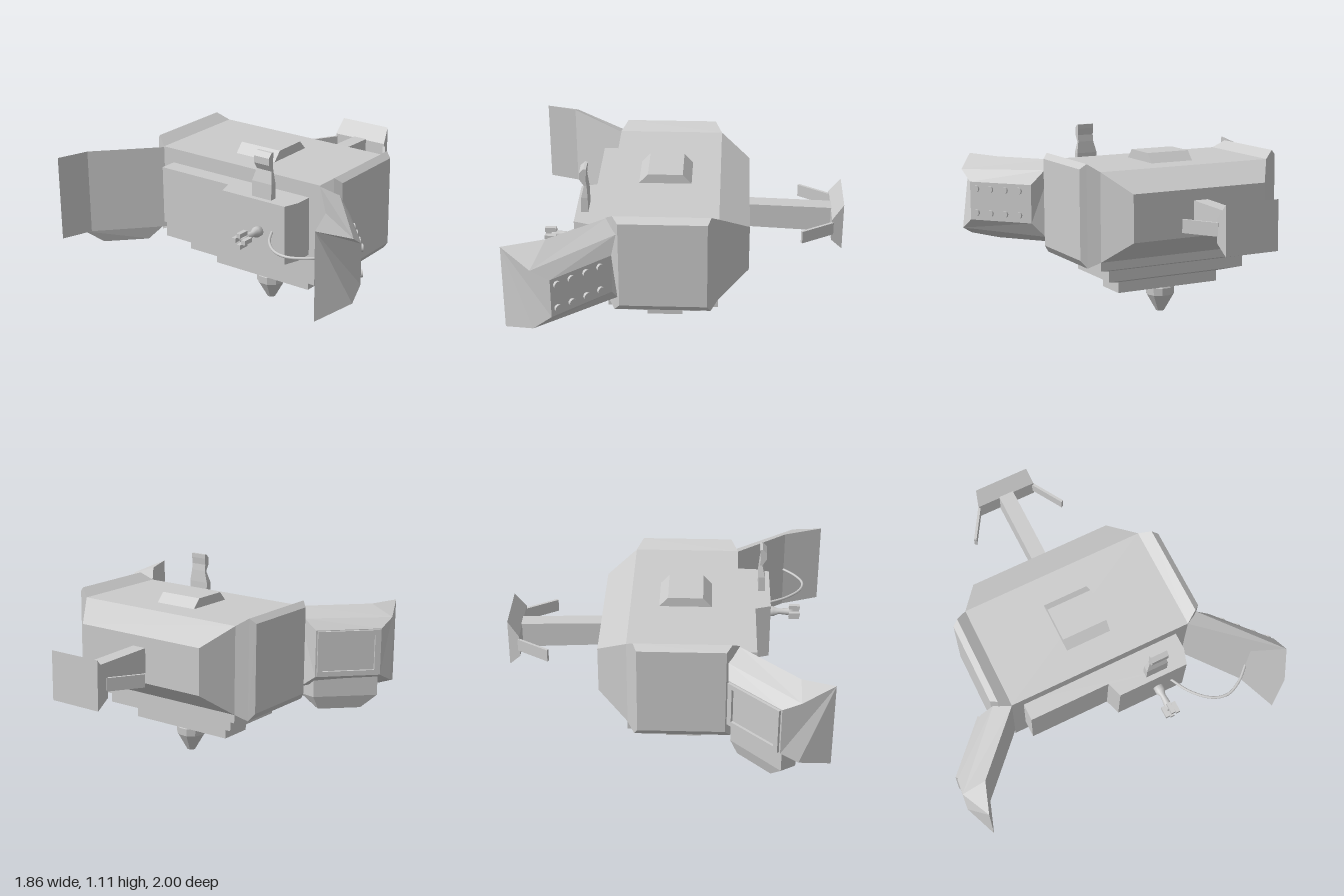
import * as THREE from 'three';

const material = new THREE.MeshStandardMaterial({ color: 0xcccccc, side: THREE.DoubleSide });

// Joins equal-length corner loops into a closed, flat-faced solid
function loft(loops) {
  const tris = [];
  const n = loops[0].length;
  for (let s = 0; s < loops.length - 1; s++) {
    for (let i = 0; i < n; i++) {
      const j = (i + 1) % n;
      const [a, b, c, d] = [loops[s][i], loops[s][j], loops[s + 1][j], loops[s + 1][i]];
      tris.push([a, b, c], [a, c, d]);
    }
  }
  const end = loops[loops.length - 1];
  for (let i = 1; i < n - 1; i++) {
    tris.push([loops[0][0], loops[0][i + 1], loops[0][i]], [end[0], end[i], end[i + 1]]);
  }
  // A negative volume means the corners run the wrong way
  const v = (p) => new THREE.Vector3(...p);
  const volume = tris.reduce((sum, [a, b, c]) => sum + v(a).dot(v(b).cross(v(c))), 0);
  if (volume < 0) tris.forEach((t) => t.reverse());
  const geometry = new THREE.BufferGeometry();
  geometry.setAttribute('position', new THREE.Float32BufferAttribute(tris.flat(2), 3));
  geometry.computeVertexNormals();
  return geometry;
}

// Rectangles across each axis
const rectX = (x, y0, y1, z0, z1) => [[x, y0, z0], [x, y1, z0], [x, y1, z1], [x, y0, z1]];
const rectY = (y, x0, x1, z0, z1) => [[x0, y, z0], [x1, y, z0], [x1, y, z1], [x0, y, z1]];
const rectZ = (z, x0, x1, y0, y1) => [[x0, y0, z], [x1, y0, z], [x1, y1, z], [x0, y1, z]];

// Section through a side panel: [x, z, half height] for inner edge, ridge and outer face
const MID = 0.67;
const panelLoop = (pts) => [
  ...pts.map(([x, z, h]) => [x, MID + h, z]),
  ...pts.slice().reverse().map(([x, z, h]) => [x, MID - h, z]),
];

export function createModel() {
  const model = new THREE.Group();
  const add = (name, geometry, parent = model) => {
    const mesh = new THREE.Mesh(geometry, material);
    mesh.name = name;
    parent.add(mesh);
    return mesh;
  };

  // Hull with flared, bevelled ends
  const ends = [[0.65, -0.33, 0.16, 0.42, 0.94], [0.615, -0.36, 0.18, 0.375, 0.97], [0.55, -0.4, 0.22, 0.41, 0.925]];
  add('hull', loft([
    ...ends.map(([z, ...r]) => rectZ(z, ...r)),
    ...ends.slice().reverse().map(([z, ...r]) => rectZ(-z, ...r)),
  ]));
  add('hullSideBulge', loft([
    rectX(0.2, 0.41, 0.925, -0.55, 0.55),
    rectX(0.22, 0.41, 0.925, -0.55, 0.55),
    rectX(0.39, 0.54, 0.815, -0.43, 0.43),
  ]));
  add('roofHatch', loft([
    rectY(0.92, -0.25, 0.06, -0.135, 0.135),
    rectY(0.98, -0.195, 0.005, -0.135, 0.135),
  ]));

  // Stepped underside
  add('bellySteps', loft([
    rectY(0.42, -0.4, 0.22, -0.55, 0.55),
    rectY(0.36, -0.4, 0.22, -0.55, 0.55),
    rectY(0.33, -0.3, 0.12, -0.45, 0.45),
    rectY(0.265, -0.3, 0.12, -0.45, 0.45),
    rectY(0.23, -0.195, 0.01, -0.335, 0.335),
    rectY(0.165, -0.195, 0.01, -0.335, 0.335),
  ]));
  const profile = [[0, 0], [0.025, 0], [0.085, 0.105], [0.088, 0.15], [0.078, 0.17], [0, 0.17]];
  const nozzle = new THREE.LatheGeometry(profile.map((p) => new THREE.Vector2(...p)), 10).toNonIndexed();
  nozzle.computeVertexNormals();
  add('nozzle', nozzle).position.x = -0.095;

  // Equipment box on the right flank
  const plan = [[-0.38, -0.48], [-0.5, -0.48], [-0.5, 0], [-0.59, 0.03], [-0.59, 0.45], [-0.5, 0.48], [-0.38, 0.48]];
  const shape = new THREE.Shape(plan.map(([x, z]) => new THREE.Vector2(x, -z)));
  const box = new THREE.ExtrudeGeometry(shape, { depth: 0.34, bevelEnabled: false });
  box.rotateX(-Math.PI / 2);
  add('equipmentBox', box).position.y = 0.5;

  add('antennaBlade', loft([
    rectY(0.82, -0.56, -0.52, 0.21, 0.34),
    rectY(0.93, -0.557, -0.52, 0.21, 0.34),
    rectY(1.0, -0.54, -0.525, 0.23, 0.33),
    rectY(1.04, -0.565, -0.53, 0.23, 0.33),
    rectY(1.08, -0.565, -0.525, 0.23, 0.33),
    rectY(1.105, -0.54, -0.525, 0.23, 0.33),
  ]));

  // Small finned coupling pointing outward, with its hose
  const coupling = new THREE.Group();
  coupling.name = 'coupling';
  coupling.position.set(-0.58, 0.66, 0.28);
  model.add(coupling);
  const stem = [[0, 0], [0.03, 0], [0.03, 0.04], [0.016, 0.07], [0.022, 0.13], [0.022, 0.16], [0, 0.16]];
  add('couplingStem', new THREE.LatheGeometry(stem.map((p) => new THREE.Vector2(...p)), 12), coupling).rotation.z = Math.PI / 2;
  for (let i = 0; i < 4; i++) {
    const a = (i * Math.PI) / 2;
    const fin = add('couplingFin', new THREE.BoxGeometry(0.065, 0.025, 0.025), coupling);
    fin.position.set(-0.165, 0.032 * Math.sin(a), 0.032 * Math.cos(a));
  }
  const hosePath = [[-0.58, 0.36], [-0.7, 0.43], [-0.79, 0.53], [-0.81, 0.62], [-0.77, 0.71], [-0.69, 0.8]];
  const curve = new THREE.CatmullRomCurve3(hosePath.map(([x, z]) => new THREE.Vector3(x, 0.67, z)));
  add('hose', new THREE.TubeGeometry(curve, 32, 0.008, 8));

  // Front side panel with studs
  add('frontPanel', loft([
    panelLoop([[-0.4, 0.55, 0.25], [-0.34, 0.64, 0.2], [-0.36, 0.72, 0.115]]),
    panelLoop([[-0.7, 0.79, 0.25], [-0.76, 1, 0.18], [-0.66, 0.985, 0.115]]),
    panelLoop([[-0.93, 0.88, 0.25], [-0.76, 1, 0.18], [-0.66, 0.985, 0.115]]),
  ]));
  for (const t of [0.2, 0.43, 0.67, 0.9]) {
    for (const y of [0.6, 0.745]) {
      const stud = add('panelStud', new THREE.CylinderGeometry(0.021, 0.021, 0.03, 14));
      stud.position.set(-0.36 - 0.3 * t, y, 0.72 + 0.265 * t);
      stud.quaternion.setFromUnitVectors(new THREE.Vector3(0, 1, 0), new THREE.Vector3(0.265, 0, 0.3).normalize());
    }
  }

  // Rear side panel with a raised frame and lower pod
  add('rearPanel', loft([
    panelLoop([[-0.4, -0.55, 0.25], [-0.34, -0.64, 0.2], [-0.34, -0.72, 0.14]]),
    panelLoop([[-0.72, -0.86, 0.25], [-0.72, -1, 0.19], [-0.62, -0.99, 0.14]]),
    panelLoop([[-0.9, -0.92, 0.25], [-0.72, -1, 0.19], [-0.62, -0.99, 0.14]]),
  ]));
  const podLoop = (y, pts) => pts.map(([x, z]) => [x, y, z]);
  const podPlan = [[-0.38, -0.6], [-0.36, -0.7], [-0.63, -0.97], [-0.71, -0.92]];
  add('rearPanelPod', loft([
    podLoop(0.52, podPlan),
    podLoop(0.4, podPlan),
    podLoop(0.32, [[-0.43, -0.67], [-0.4, -0.71], [-0.58, -0.89], [-0.62, -0.86]]),
  ]));
  const rect = (Type, w, h) => new Type([[-w, -h], [w, -h], [w, h], [-w, h]].map((p) => new THREE.Vector2(...p)));
  const frameShape = rect(THREE.Shape, 0.185, 0.135);
  frameShape.holes.push(rect(THREE.Path, 0.155, 0.105));
  const frame = add('rearPanelFrame', new THREE.ExtrudeGeometry(frameShape, { depth: 0.015, bevelEnabled: false }));
  frame.position.set(-0.48, MID, -0.855);
  frame.rotation.y = Math.atan2(0.27, -0.28);

  // Outrigger arm with end plate and swept fins
  add('arm', loft([
    rectX(0.37, 0.605, 0.75, -0.045, 0.045),
    rectX(0.88, 0.58, 0.735, -0.045, 0.045),
  ]));
  add('armEndPlate', loft([
    rectX(0.865, 0.6, 0.73, -0.18, 0.18),
    rectX(0.93, 0.535, 0.82, -0.165, 0.165),
  ]));
  for (const side of [-1, 1]) {
    const fin = add('armFin', new THREE.BoxGeometry(0.215, 0.075, 0.015));
    fin.position.set(0.78, 0.675, side * 0.232);
    fin.rotation.y = side * 0.55;
  }
  return model;
}
